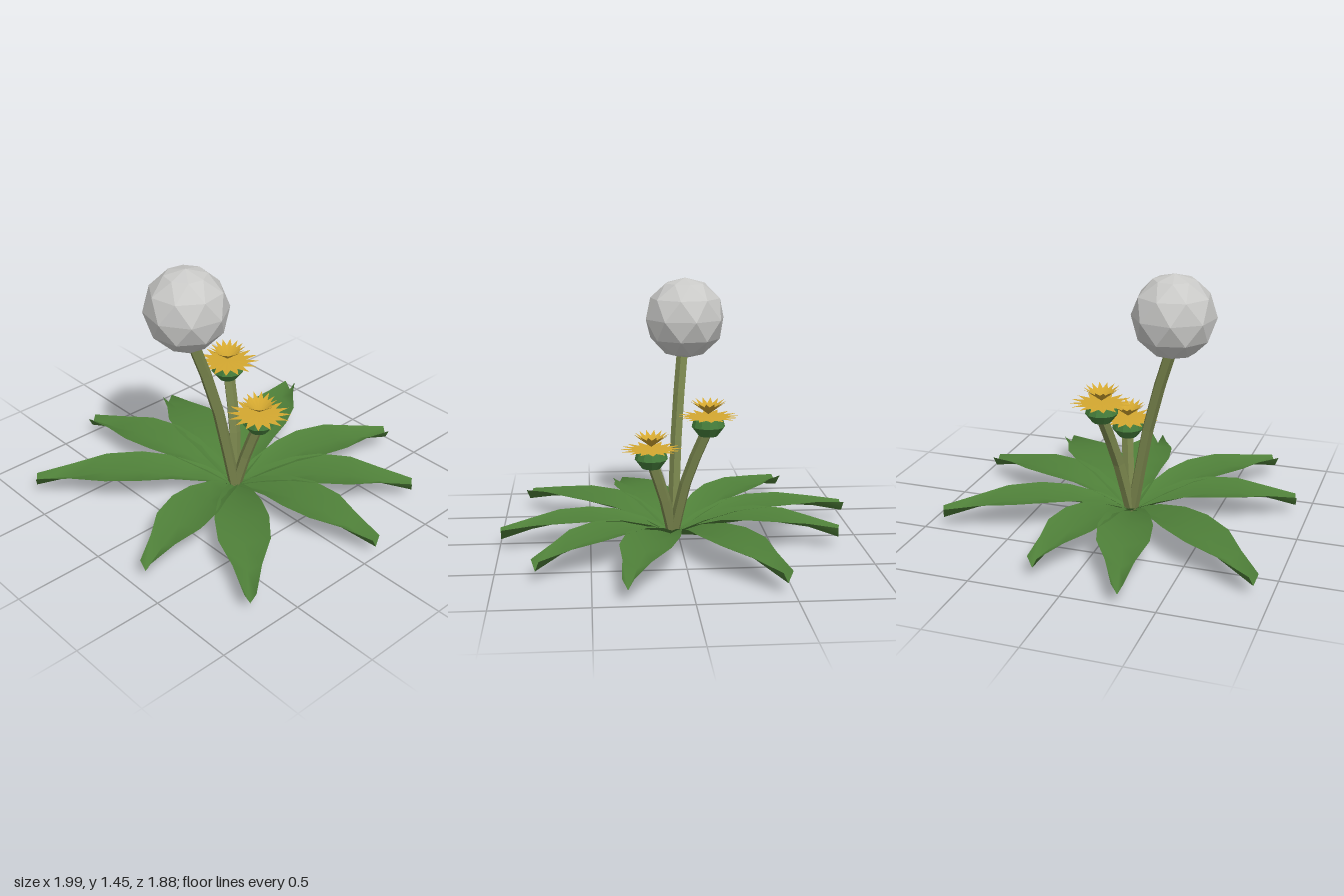
import * as THREE from 'three';
import { ConvexGeometry } from 'three/addons/geometries/ConvexGeometry.js';

const mat = (name, color, opts = {}) => {
  const m = new THREE.MeshStandardMaterial({ color, ...opts });
  m.name = name;
  return m;
};

function build(pos, idx) {
  const g = new THREE.BufferGeometry();
  g.setAttribute('position', new THREE.Float32BufferAttribute(pos, 3));
  g.setIndex(idx);
  g.computeVertexNormals();
  return g;
}

// One leaf: V-folded cross-sections from the root to a blunt tip
const LEAF = [ // along, half width, midrib height, edge height
  [0, 0.025, 0.01, 0.03], [0.15, 0.08, 0.055, 0.1], [0.32, 0.12, 0.095, 0.15],
  [0.47, 0.147, 0.122, 0.163], [0.65, 0.138, 0.125, 0.16],
  [0.82, 0.076, 0.1, 0.14], [1, 0.031, 0.052, 0.11],
];
function leafGeometry(root, tipX, tipZ) {
  const dx = tipX - root.x, dz = tipZ - root.z, len = Math.hypot(dx, dz);
  const pos = [], idx = [];
  LEAF.forEach(([t, w, mid, edge], r) => {
    for (const s of [-1, 0, 1]) {
      pos.push(root.x + dx * t - (dz / len) * w * s, s ? edge : mid,
        root.z + dz * t + (dx / len) * w * s);
    }
    if (r === LEAF.length - 1) return;
    for (let k = 0; k < 2; k++) {
      const a = r * 3 + k;
      idx.push(a, a + 1, a + 3, a + 1, a + 4, a + 3);
    }
  });
  return build(pos, idx);
}

// Pointed petal ring: a fan whose rim alternates between tips and notches
function starGeometry(points, tipR, tipY, notchR, notchY) {
  const pos = [0, 0, 0], idx = [], n = points * 2;
  for (let i = 0; i < n; i++) {
    const a = (i / n) * Math.PI * 2, r = i % 2 ? notchR : tipR;
    pos.push(Math.cos(a) * r, i % 2 ? notchY : tipY, Math.sin(a) * r);
    idx.push(0, 1 + ((i + 1) % n), 1 + i);
  }
  return build(pos, idx);
}

// Seed head: faceted ball from rings that alternate by half a step
function seedHeadGeometry(radius, sides) {
  const pts = [new THREE.Vector3(0, radius, 0), new THREE.Vector3(0, -radius, 0)];
  for (let row = 1; row < 6; row++) {
    for (let i = 0; i < sides; i++) {
      const turn = ((i + (row % 2 ? 0.25 : -0.25)) / sides) * Math.PI * 2;
      pts.push(new THREE.Vector3().setFromSphericalCoords(radius, (row / 6) * Math.PI, turn));
    }
  }
  return new ConvexGeometry(pts);
}

export function createModel() {
  const model = new THREE.Group();
  const leafGreen = mat('leaf green', 0x4f8039, { side: THREE.DoubleSide });
  const stemGreen = mat('stem olive', 0x78844c, { flatShading: true });
  const budGreen = mat('calyx green', 0x477f3c, { flatShading: true });
  const yellow = mat('petal yellow', 0xd4a830, { side: THREE.DoubleSide });
  const grey = mat('seed head grey', 0xcacac8, { flatShading: true });
  const root = new THREE.Vector3(0.033, 0.003, 0.04);

  const add = (parent, name, geometry, material, x = 0, y = 0, z = 0) => {
    const m = new THREE.Mesh(geometry, material);
    m.name = name;
    m.position.set(x, y, z);
    parent.add(m);
    return m;
  };
  const stem = (name, ...pts) => {
    const curve = new THREE.CatmullRomCurve3([root, ...pts.map((p) => new THREE.Vector3(...p))]);
    add(model, name, new THREE.TubeGeometry(curve, 4, 0.034, 5), stemGreen);
  };

  // Rosette of leaves, placed by their tips
  const tips = [[0.325, -0.935], [0.785, -0.63], [0.99, -0.095], [0.865, 0.7], [0.32, 0.93],
    [-0.695, 0.91], [-0.99, 0.3], [-0.865, -0.2], [-0.465, -0.9]];
  const leaves = new THREE.Group();
  leaves.name = 'leaves';
  model.add(leaves);
  tips.forEach(([x, z]) => add(leaves, 'leaf', leafGeometry(root, x, z), leafGreen));

  // Tall stem with the round seed head
  stem('seedHeadStem', [0.0, 0.62, 0.16], [-0.045, 1.05, 0.292]);
  add(model, 'seedHead', seedHeadGeometry(0.23, 8), grey, -0.056, 1.21, 0.3);

  // Two open flowers: calyx, flat outer petals, raised inner petals
  const calyx = new THREE.LatheGeometry(
    [[0, 0], [0.052, 0], [0.092, 0.052], [0.082, 0.09], [0, 0.09]].map((p) => new THREE.Vector2(...p)), 12);
  const outer = starGeometry(16, 0.177, 0, 0.108, -0.004);
  const inner = starGeometry(14, 0.1, 0.074, 0.064, 0.05);
  const flower = (x, y, z) => {
    const f = new THREE.Group();
    f.name = 'flower';
    f.position.set(x, y, z);
    model.add(f);
    add(f, 'calyx', calyx, budGreen);
    add(f, 'outerPetals', outer, yellow, 0, 0.11, 0);
    add(f, 'innerPetals', inner, yellow, 0, 0.12, 0);
  };
  stem('tallFlowerStem', [-0.04, 0.35, -0.02], [-0.145, 0.63, -0.073]);
  flower(-0.153, 0.61, -0.073);
  stem('shortFlowerStem', [0.08, 0.22, 0.005], [0.15, 0.44, -0.025]);
  flower(0.158, 0.42, -0.025);

  return model;
}
